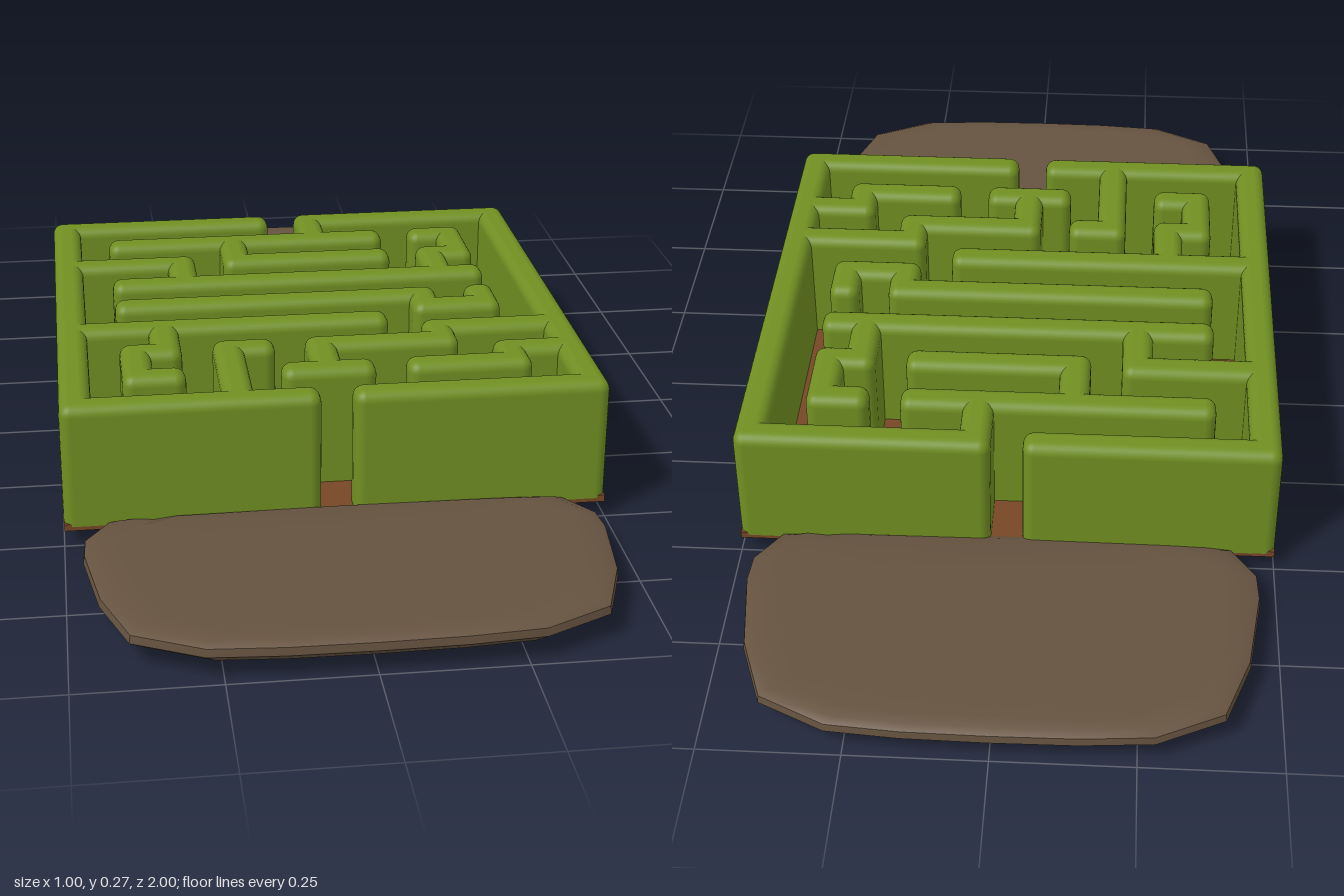
import * as THREE from 'three';
import { toCreasedNormals } from 'three/addons/utils/BufferGeometryUtils.js';
import { RoundedBoxGeometry } from 'three/addons/geometries/RoundedBoxGeometry.js';

const TILE = 1 / 17; // the maze is a grid of 17 x 17 tiles
const FLOOR = 0.04, TOP = 0.275;

const material = (name, color) => {
  const m = new THREE.MeshStandardMaterial({ color });
  m.name = name;
  return m;
};

// Hedge runs as tile coordinates: column, row, column, row
const RUNS = [
  // outer border with a gap front and back
  [0, 0, 7, 0], [9, 0, 16, 0], [0, 0, 0, 16], [16, 0, 16, 16], [0, 16, 7, 16], [9, 16, 16, 16],
  // back half
  [9, 0, 9, 2], [2, 2, 11, 2], [6, 2, 6, 4], [6, 4, 11, 4],
  [13, 2, 14, 2], [14, 2, 14, 4], [13, 4, 14, 4], [13, 4, 13, 6],
  [0, 4, 4, 4], [4, 4, 4, 6], [2, 6, 14, 6],
  // middle
  [2, 8, 12, 8], [12, 8, 12, 9], [12, 9, 14, 9], [14, 8, 14, 9], [0, 10, 10, 10],
  // front half
  [3, 10, 3, 12], [2, 12, 3, 12], [2, 12, 2, 14], [2, 14, 3, 14],
  [5, 12, 6, 12], [5, 12, 5, 16],
  [8, 12, 12, 12], [12, 11, 12, 12], [12, 11, 16, 11], [8, 12, 8, 14], [7, 14, 9, 14],
  [11, 14, 14, 14], [14, 13, 14, 14], [14, 13, 16, 13],
];

// Hedge block: rounded top and ends, flat underside
function hedgeGeometry([c0, r0, c1, r1]) {
  const extra = 0.03, height = TOP - FLOOR + extra;
  const g = new RoundedBoxGeometry((c1 - c0 + 1) * TILE, height, (r1 - r0 + 1) * TILE, 3, 0.021);
  g.translate(((c0 + c1) / 2 - 8) * TILE, TOP - height / 2, ((r0 + r1) / 2 - 8) * TILE);
  const p = g.attributes.position;
  for (let i = 0; i < p.count; i++) p.setY(i, Math.max(p.getY(i), FLOOR));
  return g;
}

// Height change of the slab along z: it dips sharply under the maze
function lift(z) {
  const keys = [[0.46, -0.034], [0.5, -0.011], [0.62, -0.007], [0.8, 0.002], [1, 0.005]];
  for (let i = 1; i < keys.length; i++) {
    const [z0, y0] = keys[i - 1], [z1, y1] = keys[i];
    if (z <= z1) return y0 + (y1 - y0) * Math.max(0, (z - z0) / (z1 - z0));
  }
  return 0.005;
}

// Stone slab: one outline scaled into rings, from the underside to the top
function slabGeometry() {
  const half = [[0, 1], [0.15, 0.998], [0.28, 0.988], [0.4, 0.928], [0.445, 0.8],
    [0.468, 0.63], [0.465, 0.57], [0.42, 0.5], [0.34, 0.465], [0, 0.46]];
  const outline = [...half, ...half.slice(1, -1).reverse().map(([x, z]) => [-x, z])];
  const rings = [[0, -0.02], [0.5, -0.02], [0.85, -0.02], [0.94, -0.018], [1, -0.003],
    [0.995, 0.012], [0.95, 0.02], [0.85, 0.02], [0.5, 0.02], [0, 0.02]];
  const n = outline.length, positions = [], index = [];
  for (const [s, y] of rings) {
    for (const [x, z] of outline) {
      const pz = 0.73 + (z - 0.73) * s;
      positions.push(x * s, 0.045 + y + lift(pz), pz);
    }
  }
  for (let r = 0; r < rings.length - 1; r++) {
    for (let k = 0; k < n; k++) {
      const a = r * n + k, b = r * n + (k + 1) % n;
      if (rings[r][0] > 0) index.push(a, b, b + n);
      if (rings[r + 1][0] > 0) index.push(a, b + n, a + n);
    }
  }
  const g = new THREE.BufferGeometry();
  g.setAttribute('position', new THREE.Float32BufferAttribute(positions, 3));
  g.setIndex(index);
  return toCreasedNormals(g, 0.6);
}

export function createModel() {
  const model = new THREE.Group();
  model.name = 'hedgeMaze';
  const hedge = material('hedge green', 0x708f22);
  const soil = material('soil brown', 0x754726);
  const stone = material('stone brown', 0x665340);

  const add = (parent, name, geometry, mat) => {
    const mesh = new THREE.Mesh(geometry, mat);
    mesh.name = name;
    parent.add(mesh);
    return mesh;
  };

  // Ground plate
  add(model, 'ground', new THREE.BoxGeometry(0.998, 0.013, 0.998), soil).position.y = 0.0385;

  // Hedges
  const hedges = new THREE.Group();
  hedges.name = 'hedges';
  RUNS.forEach((run, i) => add(hedges, i < 6 ? 'outerHedge' : 'innerHedge', hedgeGeometry(run), hedge));
  model.add(hedges);

  // Entrance and exit slabs
  const slab = slabGeometry();
  add(model, 'frontSlab', slab, stone);
  add(model, 'backSlab', slab, stone).rotation.y = Math.PI;

  return model;
}
